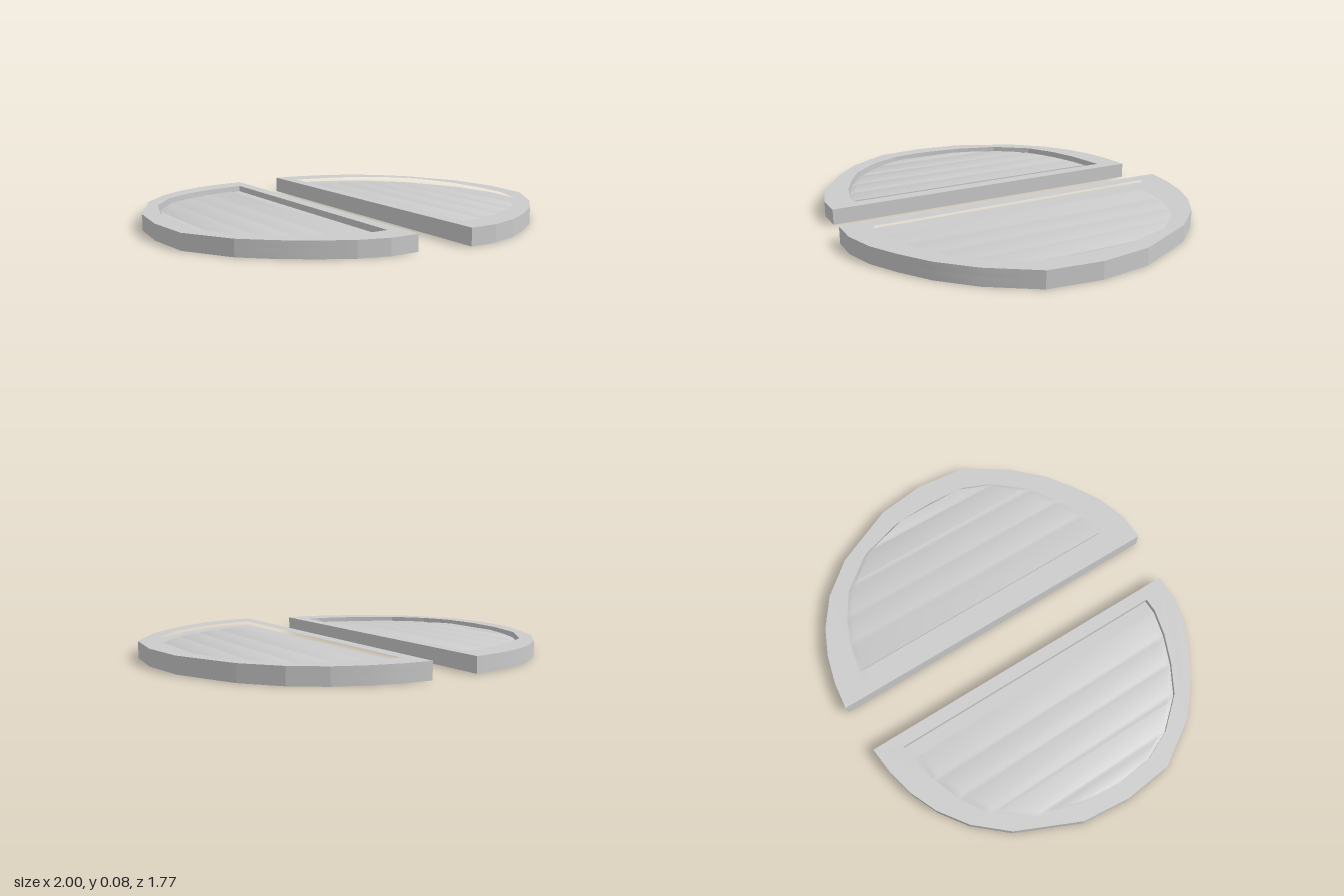
import * as THREE from 'three';
import { toCreasedNormals } from 'three/addons/utils/BufferGeometryUtils.js';

const material = new THREE.MeshStandardMaterial({ color: 0xcccccc });
const BASE = 0.045;

// Outlines run from back to front as [distance from centre line, z]
const halves = [
  {
    name: 'rightHalf', side: -1, height: 0.078, tip: 6,
    outer: [[0.145, -0.875], [0.285, -0.86], [0.425, -0.825], [0.56, -0.765], [0.7, -0.665], [0.835, -0.51], [0.975, -0.2], [1, 0.04],
      [0.975, 0.285], [0.835, 0.51], [0.7, 0.63], [0.56, 0.725], [0.425, 0.8], [0.285, 0.84], [0.145, 0.84]],
    inner: [[0.21, -0.745], [0.415, -0.703], [0.56, -0.65], [0.7, -0.565], [0.83, -0.39], [0.895, -0.17], [0.915, 0.04],
      [0.895, 0.235], [0.83, 0.38], [0.7, 0.53], [0.56, 0.612], [0.415, 0.675], [0.285, 0.71], [0.21, 0.71]],
    seams: [0.285, 0.425, 0.56, 0.7, 0.83],
  },
  {
    name: 'leftHalf', side: 1, height: 0.083, tip: 6,
    outer: [[0.11, -0.89], [0.25, -0.875], [0.4, -0.837], [0.537, -0.778], [0.685, -0.675], [0.825, -0.51], [0.967, -0.2], [1, 0.05],
      [0.97, 0.307], [0.825, 0.525], [0.68, 0.67], [0.537, 0.767], [0.4, 0.842], [0.25, 0.885], [0.11, 0.885]],
    inner: [[0.175, -0.755], [0.4, -0.71], [0.535, -0.66], [0.675, -0.575], [0.815, -0.4], [0.885, -0.17], [0.9, 0.055],
      [0.885, 0.255], [0.82, 0.405], [0.68, 0.565], [0.537, 0.65], [0.4, 0.715], [0.26, 0.747], [0.175, 0.747]],
    seams: [0.25, 0.395, 0.537, 0.68, 0.817],
  },
];

const toPoints = (list, side) => list.map(([u, z]) => new THREE.Vector2(side * u, -z));

// Upright slab from a plan outline, with an optional opening
function slab(outline, opening, side, y, height) {
  const shape = new THREE.Shape(toPoints(outline, side));
  if (opening) shape.holes.push(new THREE.Path(toPoints(opening, side)));
  const g = new THREE.ExtrudeGeometry(shape, { depth: height, bevelEnabled: false });
  g.rotateX(-Math.PI / 2);
  g.translate(0, y, 0);
  return toCreasedNormals(g, 0.2);
}

// z of a chain (ordered by growing u) at distance u
function zAt(chain, u) {
  for (let i = 1; i < chain.length; i++) {
    const [a, za] = chain[i - 1], [b, zb] = chain[i];
    if (u <= b) return za + (zb - za) * Math.max(0, (u - a) / (b - a));
  }
  return chain[chain.length - 1][1];
}

// Planked panel: cross-sections along x, softly rounded at seams and ends
function planks({ inner, seams, side, tip }) {
  const back = inner.slice(0, tip + 1), front = inner.slice(tip).reverse();
  const low = 0.047, groove = 0.053, high = 0.058;
  const end = inner[tip][0];
  const columns = [[inner[0][0], low], [seams[0], low], [seams[0], high]];
  for (const s of seams.slice(1)) columns.push([s - 0.018, high], [s, groove], [s + 0.018, high]);
  columns.push([inner[tip - 1][0], high], [end, low]);

  const position = [], index = [];
  for (const [u, y] of columns) {
    const z0 = zAt(back, u), z1 = zAt(front, u), inset = Math.min(0.035, (z1 - z0) / 3);
    [[z0, low], [z0 + inset, y], [z1 - inset, y], [z1, low]].forEach(([z, h]) => position.push(side * u, h, z));
  }
  for (let i = 0; i < columns.length - 1; i++) {
    for (let j = 0; j < 3; j++) {
      const a = i * 4 + j, b = a + 4, c = b + 1, d = a + 1;
      if (side > 0) index.push(a, d, b, b, d, c);
      else index.push(a, b, d, b, c, d);
    }
  }
  const g = new THREE.BufferGeometry();
  g.setAttribute('position', new THREE.Float32BufferAttribute(position, 3));
  g.setIndex(index);
  return toCreasedNormals(g, 0.6);
}

export function createModel() {
  const model = new THREE.Group();
  model.name = 'splitRoundPanel';
  for (const half of halves) {
    const group = new THREE.Group();
    group.name = half.name;
    const add = (name, geometry) => {
      const mesh = new THREE.Mesh(geometry, material);
      mesh.name = name;
      group.add(mesh);
    };
    add('base', slab(half.outer, null, half.side, 0, BASE));
    add('rim', slab(half.outer, half.inner, half.side, BASE, half.height - BASE));
    add('planks', planks(half));
    model.add(group);
  }
  return model;
}
